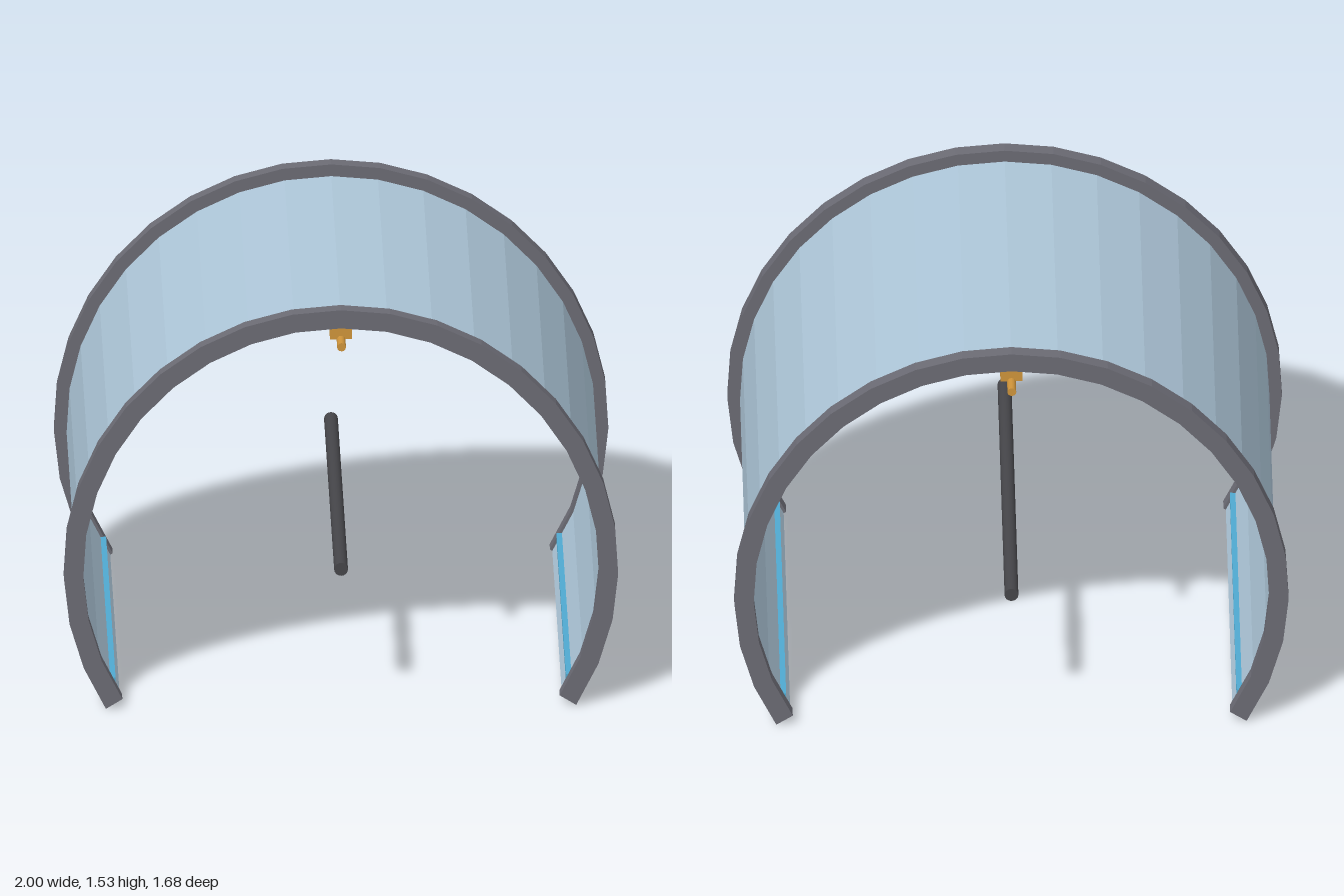
import * as THREE from 'three';

const CENTER_Y = 0.53;
const SEGMENTS = 24;
const START = THREE.MathUtils.degToRad(-32);
const SWEEP = THREE.MathUtils.degToRad(244);

const material = (name, color) => {
  const m = new THREE.MeshStandardMaterial({ color });
  m.name = name;
  return m;
};

// Faceted open arc band, extruded along z and centred on z = 0
function arcBand(inner, outer, depth) {
  const points = [];
  for (let i = 0; i <= SEGMENTS; i++) {
    const a = START + (SWEEP * i) / SEGMENTS;
    points.push(new THREE.Vector2(Math.cos(a) * outer, Math.sin(a) * outer));
  }
  for (let i = SEGMENTS; i >= 0; i--) {
    const a = START + (SWEEP * i) / SEGMENTS;
    points.push(new THREE.Vector2(Math.cos(a) * inner, Math.sin(a) * inner));
  }
  const geometry = new THREE.ExtrudeGeometry(new THREE.Shape(points), { depth, bevelEnabled: false });
  return geometry.translate(0, 0, -depth / 2);
}

// Cylinder lying along z
const rodGeometry = (radius, length, sides) =>
  new THREE.CylinderGeometry(radius, radius, length, sides).rotateX(Math.PI / 2);

export function createModel() {
  const model = new THREE.Group();
  model.name = 'archedCanopy';

  const shellBlue = material('paleBlueShell', 0xadc6d8);
  const frameGrey = material('frameGrey', 0x6b6b74);
  const axleGrey = material('axleDarkGrey', 0x454549);
  const brass = material('brass', 0xcf943a);
  const stripBlue = material('stripBlue', 0x4fa9d0);

  const add = (name, geometry, mat, x, y, z) => {
    const mesh = new THREE.Mesh(geometry, mat);
    mesh.name = name;
    mesh.position.set(x, y, z);
    model.add(mesh);
  };

  // Curved shell and central axle
  add('shell', arcBand(0.94, 0.955, 1.43), shellBlue, 0, CENTER_Y, 0);
  add('axle', rodGeometry(0.025, 1.53, 16), axleGrey, 0, CENTER_Y, 0);

  // End hoops, each with a bracket and pin under its crown
  const hoop = arcBand(0.93, 1, 0.054);
  const bracket = new THREE.BoxGeometry(0.08, 0.055, 0.05);
  const pin = rodGeometry(0.016, 0.2, 12);
  for (const [end, s] of [['front', 1], ['back', -1]]) {
    add(end + 'Hoop', hoop, frameGrey, 0, CENTER_Y, s * 0.74);
    add(end + 'Bracket', bracket, brass, 0, 1.445, s * 0.74);
    add(end + 'Pin', pin, brass, 0, 1.415, s * 0.74);
  }

  // Lengthwise strips through the lower edges of the shell
  const strip = new THREE.BoxGeometry(0.048, 0.025, 1.43);
  for (const [side, s] of [['left', 1], ['right', -1]]) {
    add(side + 'Strip', strip, stripBlue, s * 0.836, 0.088, 0);
  }

  return model;
}
